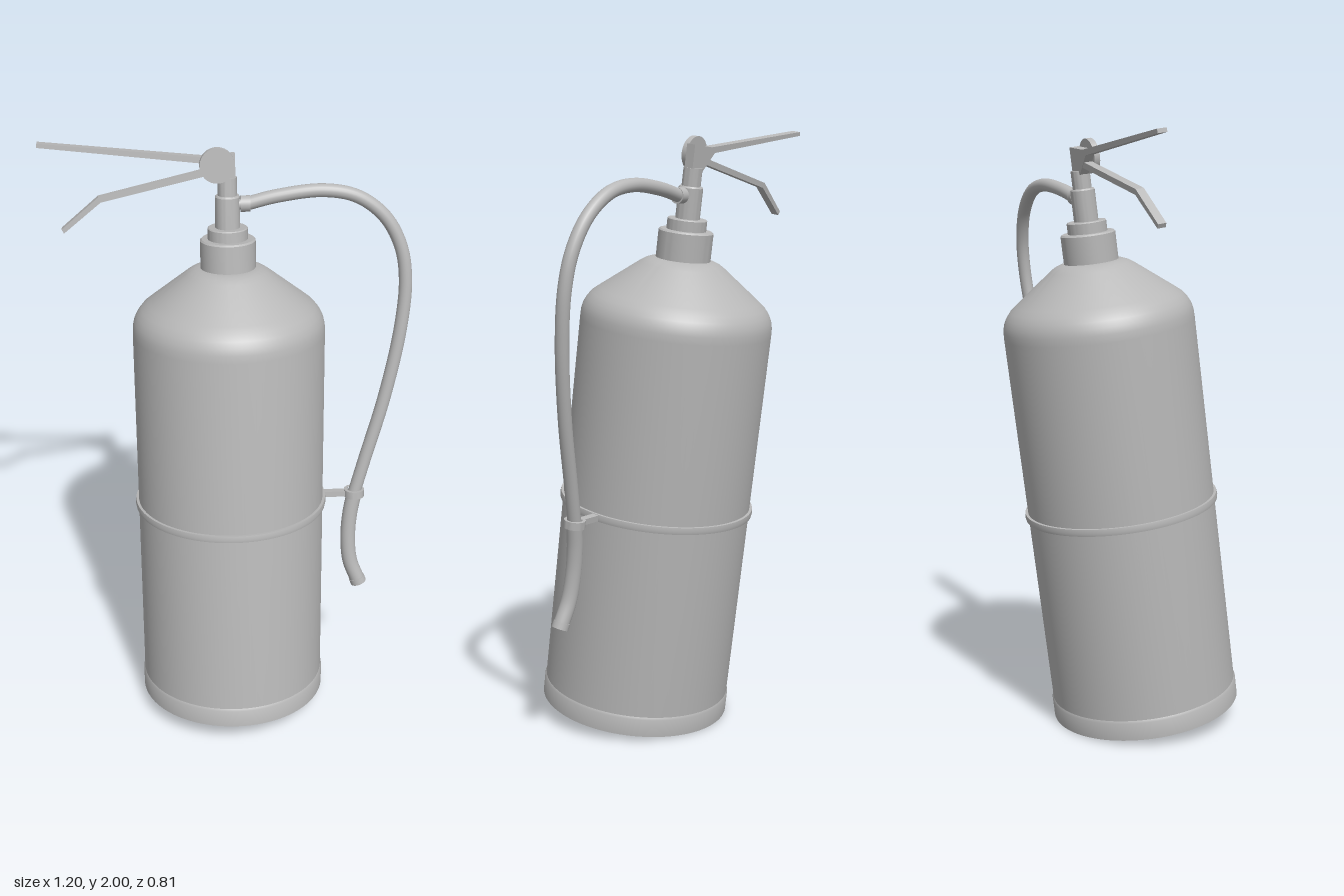
import * as THREE from 'three';
import { toCreasedNormals } from 'three/addons/utils/BufferGeometryUtils.js';

const TILT = 0.132;
const BASE_Y = 0.043;

// upright front position -> point in the tilted frame
const P = (x, y) => new THREE.Vector2(x + 0.01, (y - BASE_Y) / Math.cos(TILT));

export function createModel() {
  const grey = new THREE.MeshStandardMaterial({ color: 0xb8b8b8 });
  grey.name = 'grey';

  const model = new THREE.Group();
  model.name = 'fireExtinguisher';
  model.position.set(-0.01, BASE_Y, 0.09);
  model.rotation.x = -TILT;

  const add = (name, geometry, x = 0, y = 0, z = 0) => {
    const mesh = new THREE.Mesh(geometry, grey);
    mesh.name = name;
    mesh.position.set(x, y, z);
    model.add(mesh);
    return mesh;
  };
  const lathe = (pts, segments = 64) => toCreasedNormals(
    new THREE.LatheGeometry(pts.map(([r, y]) => new THREE.Vector2(r, y)), segments), 0.5);
  // flat profile extruded evenly about the middle plane
  const plate = (pts, depth) => {
    const g = new THREE.ExtrudeGeometry(new THREE.Shape(pts.map(([x, y]) => P(x, y))),
      { depth, bevelEnabled: false });
    return g.translate(0, 0, -depth / 2);
  };

  // tank with rounded shoulder and sloping top
  add('tank', lathe([
    [0, 0.002], [0.317, 0.002], [0.317, 1.335], [0.316, 1.36], [0.311, 1.382], [0.301, 1.402],
    [0.286, 1.421], [0.265, 1.438], [0.14, 1.535], [0.125, 1.545], [0.108, 1.552], [0.09, 1.555], [0, 1.555],
  ], 96));
  add('baseRim', lathe([[0, 0], [0.321, 0], [0.321, 0.06], [0.317, 0.068]], 96));
  add('strap', lathe([
    [0.316, 0.715], [0.326, 0.715], [0.328, 0.725], [0.326, 0.738], [0.316, 0.738],
  ], 96));

  // neck cap and valve stem
  add('neckCap', lathe([
    [0.09, 1.54], [0.09, 1.645], [0.085, 1.65], [0.065, 1.65], [0.065, 1.684],
    [0.062, 1.687], [0, 1.687],
  ]));
  add('valveStem', lathe([
    [0.04, 1.68], [0.04, 1.787], [0.036, 1.792], [0.031, 1.792], [0.031, 1.85], [0, 1.85],
  ], 40));

  // handles and pivot
  add('upperLever', plate([
    [-0.605, 1.987], [-0.1, 1.926], [-0.04, 1.865], [0.015, 1.865], [0.015, 1.952],
    [-0.08, 1.944], [-0.603, 2.0],
  ], 0.032));
  add('lowerLever', plate([
    [-0.03, 1.915], [-0.42, 1.826], [-0.54, 1.726], [-0.533, 1.713], [-0.413, 1.809], [-0.03, 1.895],
  ], 0.028));
  const pivot = P(-0.043, 1.92);
  const disc = new THREE.CylinderGeometry(0.056, 0.056, 0.02, 40).rotateX(Math.PI / 2);
  add('pivotDisc', disc, pivot.x, pivot.y, 0.025);

  // hose outlet fitting
  const outlet = P(0.045, 1.79);
  const sideways = (r, len) => new THREE.CylinderGeometry(r, r, len, 28).rotateZ(Math.PI / 2);
  add('outletPipe', sideways(0.019, 0.08), outlet.x - 0.02, outlet.y);
  add('outletCollar', sideways(0.026, 0.03), outlet.x + 0.002, outlet.y);

  // hose and nozzle, closed at the open end
  const curve = (pts) => new THREE.CatmullRomCurve3(pts.map(([x, y]) => {
    const p = P(x, y);
    return new THREE.Vector3(p.x, p.y, 0);
  }), false, 'centripetal');
  add('hose', new THREE.TubeGeometry(curve([
    [0.045, 1.788], [0.15, 1.812], [0.3, 1.826], [0.41, 1.803], [0.5, 1.735], [0.555, 1.635],
    [0.574, 1.52], [0.562, 1.35], [0.515, 1.11], [0.455, 0.89], [0.42, 0.76],
  ]), 96, 0.022, 20));
  const nozzlePath = curve([[0.424, 0.775], [0.407, 0.68], [0.402, 0.59], [0.411, 0.5], [0.44, 0.422]]);
  add('nozzle', new THREE.TubeGeometry(nozzlePath, 40, 0.026, 24));
  const up = new THREE.Vector3(0, 1, 0);
  const end = nozzlePath.getPoint(1);
  const tip = add('nozzleTip', new THREE.CylinderGeometry(0.028, 0.028, 0.022, 24), end.x, end.y);
  tip.quaternion.setFromUnitVectors(up, nozzlePath.getTangent(1));

  // clip holding the hose to the strap
  const clip = P(0.42, 0.763);
  add('hoseClip', lathe([
    [0.024, -0.013], [0.035, -0.013], [0.035, 0.013], [0.024, 0.013],
  ], 32), clip.x, clip.y);
  add('clipArm', new THREE.BoxGeometry(0.09, 0.02, 0.024), 0.358, clip.y);

  const group = new THREE.Group();
  group.add(model);
  return group;
}
